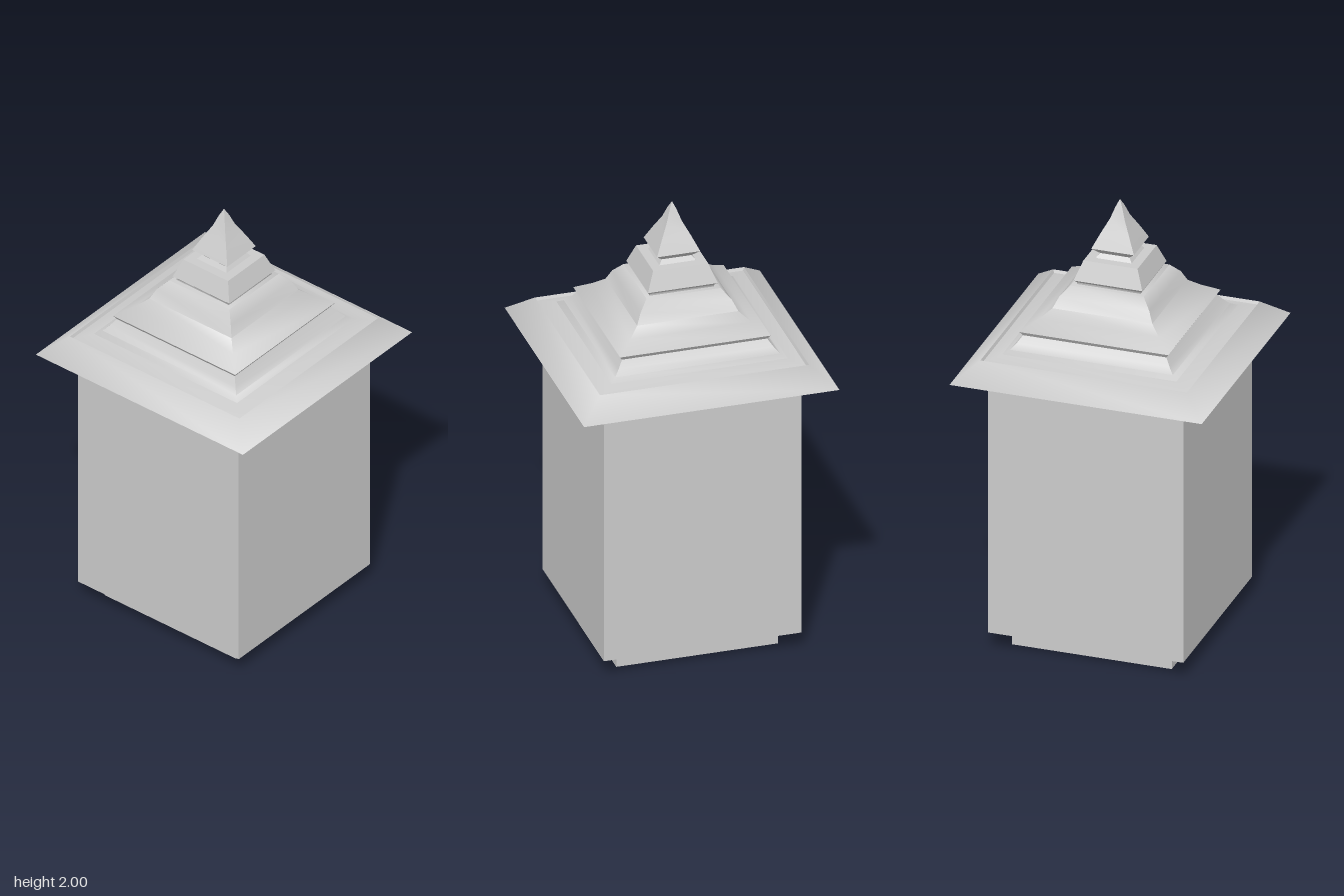
import * as THREE from 'three';
import { toCreasedNormals } from 'three/addons/utils/BufferGeometryUtils.js';

const material = new THREE.MeshStandardMaterial({ color: 0xcccccc });

// Square solid from a bottom-to-top profile of [half width, height].
function squareLoft(name, profile, crease) {
  const points = profile.map(([half, y]) => new THREE.Vector2(half * Math.SQRT2, y));
  const geometry = new THREE.LatheGeometry(points, 4, Math.PI / 4);
  const mesh = new THREE.Mesh(toCreasedNormals(geometry, crease), material);
  mesh.name = name;
  return mesh;
}

function block(name, half, bottom, top) {
  const mesh = new THREE.Mesh(new THREE.BoxGeometry(half * 2, top - bottom, half * 2), material);
  mesh.position.y = (bottom + top) / 2;
  mesh.name = name;
  return mesh;
}

export function createModel() {
  const model = new THREE.Group();
  model.name = 'squareLantern';
  const soft = Math.PI / 3;

  // Plinth and main body
  model.add(block('base', 0.36, 0, 0.085));
  model.add(block('body', 0.44, 0.08, 1.3));

  // Overhanging eave with a shallow groove behind its rim
  model.add(squareLoft('eave', [
    [0, 1.283], [0.44, 1.283], [0.568, 1.29], [0.465, 1.375], [0.459, 1.362], [0.38, 1.385],
  ], soft));

  // Stepped, curved roof
  model.add(squareLoft('roof', [
    [0.40, 1.377], [0.367, 1.396], [0.345, 1.42], [0.323, 1.452], [0.335, 1.47],
    [0.27, 1.513], [0.225, 1.55], [0.203, 1.597], [0.165, 1.64], [0, 1.64],
  ], soft));

  // Collar above the roof
  model.add(squareLoft('collar', [
    [0.143, 1.635], [0.143, 1.648], [0.155, 1.66], [0.122, 1.745], [0, 1.745],
  ], soft));

  // Pointed finial on a pinched neck
  model.add(squareLoft('finial', [
    [0.085, 1.74], [0.066, 1.764], [0.096, 1.793], [0.065, 1.857], [0.033, 1.918], [0.015, 1.968], [0, 2],
  ], soft));

  return model;
}
